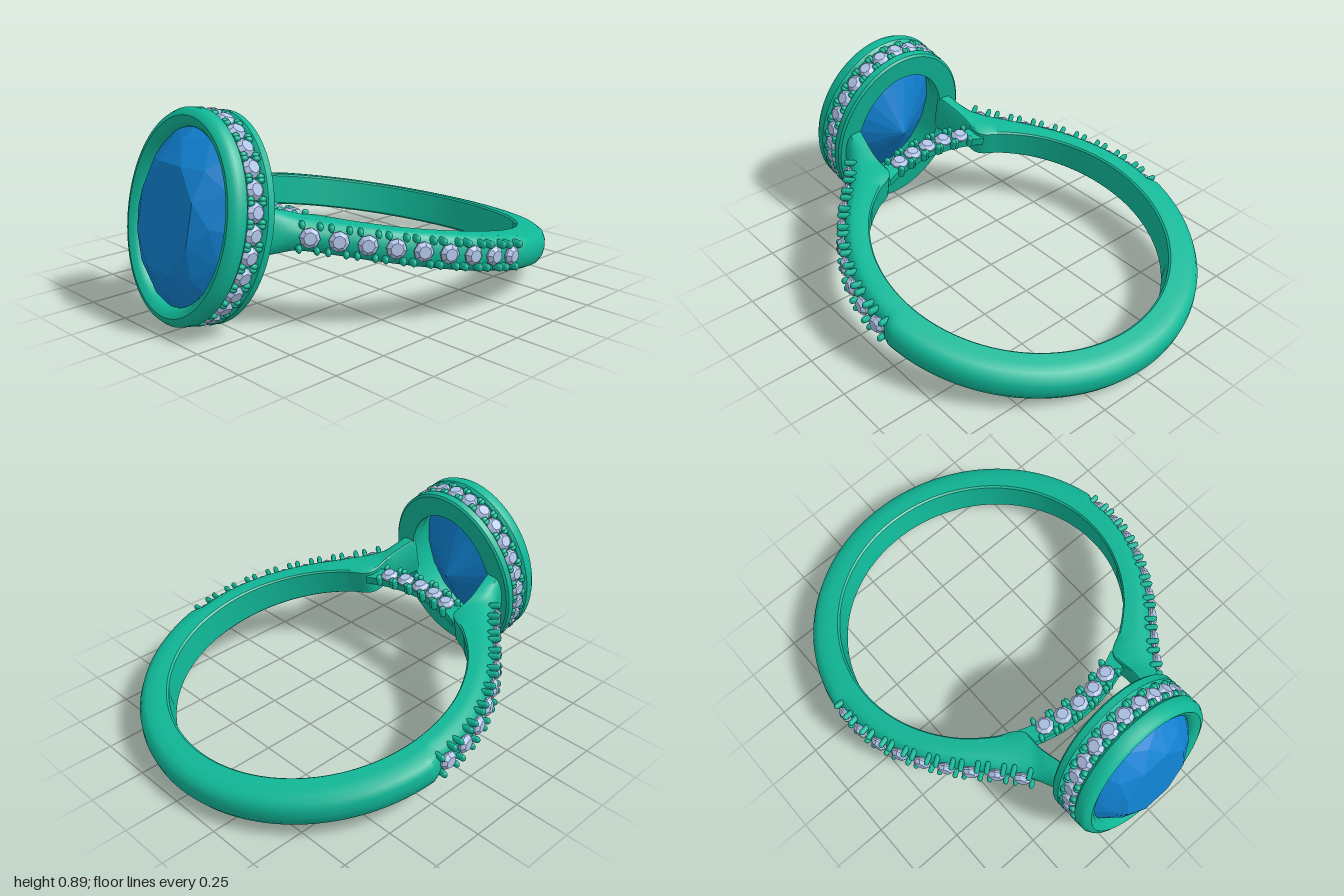
import * as THREE from 'three';
import { mergeGeometries, toCreasedNormals } from 'three/addons/utils/BufferGeometryUtils.js';
import { ConvexGeometry } from 'three/addons/geometries/ConvexGeometry.js';

const V3 = (x, y, z) => new THREE.Vector3(x, y, z);
const UP = V3(0, 1, 0);

// Skin a list of closed cross-sections; closed joins the last one to the first
function loft(rows, closed) {
  const n = rows[0].length, m = rows.length, idx = [];
  for (let i = 0; i < (closed ? m : m - 1); i++) {
    for (let j = 0; j < n; j++) {
      const a = i * n + j, d = i * n + (j + 1) % n;
      const b = ((i + 1) % m) * n + j, c = ((i + 1) % m) * n + (j + 1) % n;
      idx.push(a, b, d, b, c, d);
    }
  }
  const g = new THREE.BufferGeometry().setFromPoints(rows.flat());
  g.setIndex(idx);
  return toCreasedNormals(g, 0.65);
}

export function createModel() {
  const metal = new THREE.MeshStandardMaterial({ color: 0x10b898 });
  const blue = new THREE.MeshStandardMaterial({ color: 0x1080d0, flatShading: true });
  const pale = new THREE.MeshStandardMaterial({ color: 0xb0c4e8, flatShading: true });

  // Ring lies flat in this group (x across, z forward); the group is tilted
  const ring = new THREE.Group();
  ring.name = 'ring';
  ring.rotation.x = -0.2;
  ring.position.set(0, 0.25, -0.19);
  const add = (name, geometry, material) => {
    const mesh = new THREE.Mesh(geometry, material);
    mesh.name = name;
    ring.add(mesh);
  };

  // Small round stones, each held by four prongs
  const stoneGeo = new THREE.LatheGeometry(
    [[0, -0.04], [0.042, 0], [0.042, 0.008], [0.026, 0.024], [0, 0.024]].map(p => new THREE.Vector2(...p)), 8);
  const prongGeo = new THREE.CapsuleGeometry(0.012, 0.036, 3, 8);
  prongGeo.scale(1, 1, 1.4);
  function stoneRow(name, seats, spread) {
    const stones = [], prongs = [];
    for (const { pos, normal, along } of seats) {
      const m = new THREE.Matrix4().makeBasis(along, normal, along.clone().cross(normal)).setPosition(pos);
      stones.push(stoneGeo.clone().applyMatrix4(m));
      for (const sx of [-1, 1]) for (const sz of [-1, 1]) {
        prongs.push(prongGeo.clone().translate(sx * 0.036, -0.004, sz * spread).applyMatrix4(m));
      }
    }
    add(name + 'Stones', mergeGeometries(stones), pale);
    add(name + 'Prongs', mergeGeometries(prongs), metal);
  }

  // Band: round at the back, shoulders sweeping forward to the bezel
  function edge(radius, shoulder) {
    const right = [];
    for (let k = 1; k <= 6; k++) {
      const f = k * Math.PI / 12;
      right.push(V3(radius * Math.sin(f), 0, -radius * Math.cos(f)));
    }
    shoulder.forEach(([x, z]) => right.push(V3(x, 0, z)));
    const left = right.map(p => V3(-p.x, 0, p.z)).reverse();
    return new THREE.CatmullRomCurve3([...left, V3(0, 0, -radius), ...right]);
  }
  const outer = edge(0.815, [[0.785, 0.2], [0.7, 0.4], [0.6, 0.55], [0.5, 0.67], [0.41, 0.785], [0.36, 0.87], [0.345, 0.92]]);
  const inner = edge(0.67, [[0.648, 0.17], [0.585, 0.325], [0.49, 0.457], [0.375, 0.555], [0.272, 0.62], [0.265, 0.75], [0.235, 0.92]]);
  const half = [[0, 0.9], [0.06, 1], [0.4, 1], [0.7, 0.95], [0.88, 0.76], [0.97, 0.42]];
  const section = [...half, [1, 0], ...half.map(([s, h]) => [s, -h]).reverse()];
  const bandRows = [];
  for (let i = 0; i <= 200; i++) {
    const o = outer.getPoint(i / 200), p = inner.getPoint(i / 200);
    // Sunk seat for the stones on the shoulders
    const drop = 0.028 * THREE.MathUtils.smoothstep(o.z, -0.1, -0.07);
    o.addScaledVector(p.clone().sub(o).normalize(), drop);
    const h = 0.078 - 0.01 * THREE.MathUtils.smoothstep(o.z, 0, 0.75)
      + 0.03 * THREE.MathUtils.smoothstep(o.z, 0.8, 0.92);
    bandRows.push(section.map(([s, k]) => p.clone().lerp(o, s).setY(k * h)));
  }
  add('band', loft(bandRows, false), metal);

  // Stones along both shoulders
  const shoulderSeats = [], length = outer.getLength();
  for (const side of [-1, 1]) for (let k = 0; k < 9; k++) {
    const u = 0.5 + side * (1.25 + k * 0.115) / length;
    const along = outer.getTangentAt(u).normalize();
    const normal = UP.clone().cross(along).normalize();
    shoulderSeats.push({ pos: outer.getPointAt(u).addScaledVector(normal, -0.022), normal, along });
  }
  stoneRow('shoulder', shoulderSeats, 0.048);

  // Bridge between the shoulders, with a row of stones on top
  const arc = (r, y, f) => V3(r * Math.sin(f), y, r * Math.cos(f));
  const bridgeRows = [];
  for (let i = 0; i <= 16; i++) {
    const f = -0.44 + i * 0.055;
    bridgeRows.push([[0.74, 0.045], [0.66, 0.045], [0.66, 0.005], [0.68, -0.01], [0.72, -0.01], [0.74, 0.005]]
      .map(([r, y]) => arc(r, y, f)));
  }
  add('bridge', loft(bridgeRows, false), metal);
  const bridgeSeats = [-2, -1, 0, 1, 2].map(k => {
    const f = k * 0.133;
    return { pos: arc(0.692, 0.05, f), normal: UP, along: V3(Math.cos(f), 0, -Math.sin(f)) };
  });
  stoneRow('bridge', bridgeSeats, 0.042);

  // Oval bezel: back rim, stone channel, rounded front rim and tapered inside
  const A = 0.357, B = 0.438;
  const profile = [[-0.11, 0.905], [-0.01, 0.905], [0, 0.914], [0, 0.945], [-0.01, 0.953], [-0.035, 0.955],
    [-0.035, 1.032], [-0.012, 1.036], [0, 1.05], [0, 1.085], [-0.012, 1.105], [-0.035, 1.115],
    [-0.06, 1.105], [-0.077, 1.085], [-0.08, 1.06], [-0.11, 0.97]];
  const bezelRows = [];
  for (let i = 0; i < 96; i++) {
    const t = i / 96 * Math.PI * 2;
    bezelRows.push(profile.map(([d, z]) => V3((A + d) * Math.cos(t), (B + d) * Math.sin(t), z)));
  }
  add('bezel', loft(bezelRows, true), metal);

  // Stones around the rim of the bezel
  const oval = new THREE.EllipseCurve(0, 0, A, B);
  const rimSeats = oval.getSpacedPoints(28).slice(0, 28).map(p => {
    const normal = V3(p.x / (A * A), p.y / (B * B), 0).normalize();
    return { pos: V3(p.x, p.y, 0.995).addScaledVector(normal, -0.024), normal, along: V3(-normal.y, normal.x, 0) };
  });
  stoneRow('rim', rimSeats, 0.03);

  // Large oval faceted stone
  const gem = [V3(0, 0, 0.87)];
  const facetRing = (count, turn, scale, z) => {
    for (let k = 0; k < count; k++) {
      const t = (k + turn) / count * Math.PI * 2;
      gem.push(V3(0.287 * scale * Math.cos(t), 0.367 * scale * Math.sin(t), z));
    }
  };
  facetRing(8, 0.5, 0.62, 1.17);
  facetRing(8, 0, 0.82, 1.13);
  facetRing(16, 0, 1, 1.075);
  facetRing(16, 0, 1, 1.06);
  add('centreStone', new ConvexGeometry(gem), blue);

  const model = new THREE.Group();
  model.name = 'gemRing';
  model.add(ring);
  return model;
}
